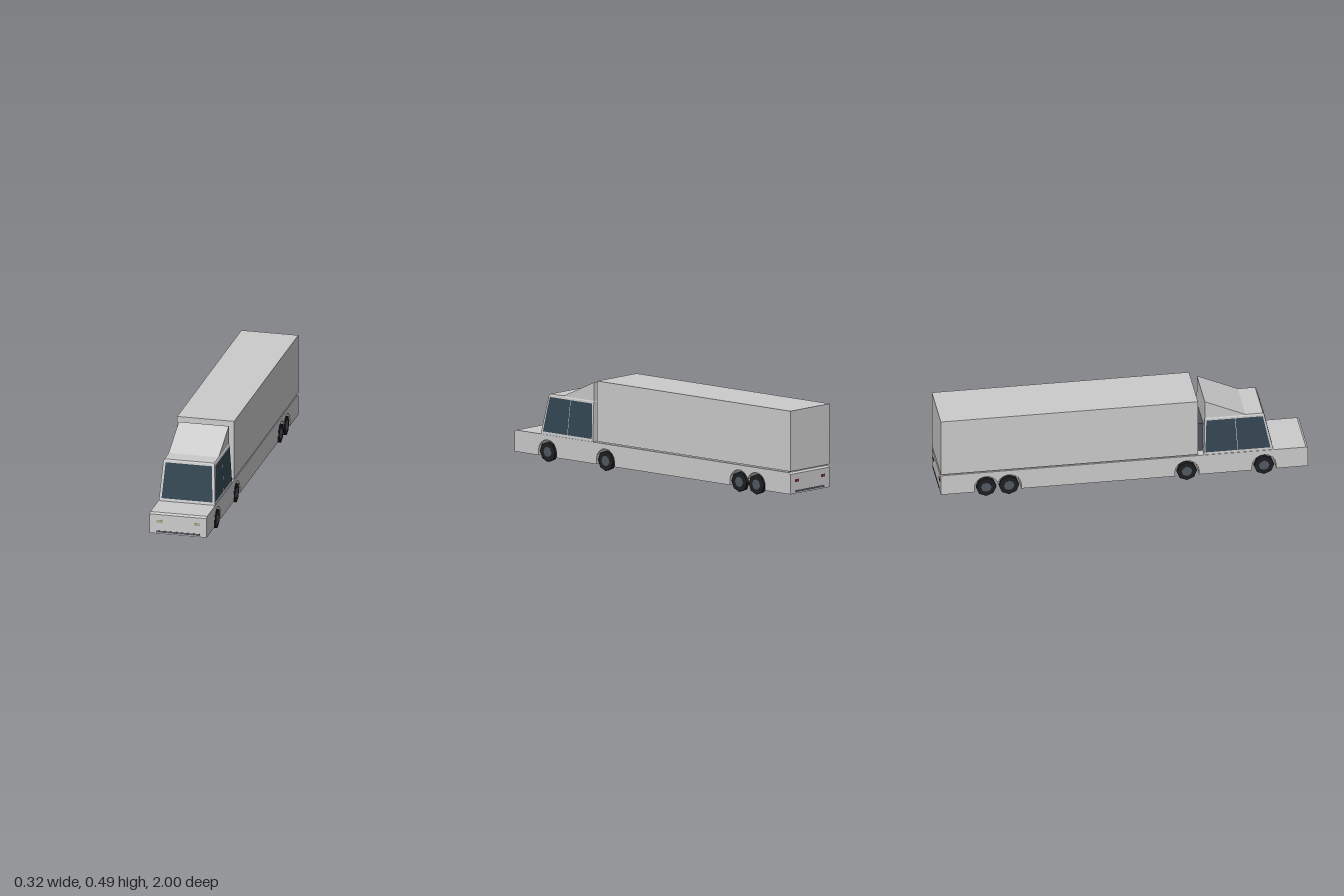
import * as THREE from 'three';

const mat = (color, side = THREE.FrontSide) =>
  new THREE.MeshStandardMaterial({ color, flatShading: true, side });

export function createModel() {
  const truck = new THREE.Group();
  const paint = mat(0xcccccc), trim = mat(0x50545e), tyreMat = mat(0x1e1f21);
  const hubMat = mat(0x505862), lampMat = mat(0xa8a684), tailMat = mat(0x6a2238);
  const glass = mat(0x344652, THREE.DoubleSide);

  const add = (name, geometry, material, parent = truck) => {
    const mesh = new THREE.Mesh(geometry, material);
    mesh.name = name;
    parent.add(mesh);
    return mesh;
  };
  // Box given by its limits on each axis
  const box = (name, x0, x1, y0, y1, z0, z1, material) =>
    add(name, new THREE.BoxGeometry(x1 - x0, y1 - y0, z1 - z0), material)
      .position.set((x0 + x1) / 2, (y0 + y1) / 2, (z0 + z1) / 2);
  // Side profile of [z, y] points, extruded across the width
  const sideExtrude = (points, halfWidth) => {
    const shape = new THREE.Shape(points.map(p => new THREE.Vector2(p[0], p[1])));
    return new THREE.ExtrudeGeometry(shape, { depth: 2 * halfWidth, bevelEnabled: false })
      .rotateY(-Math.PI / 2).translate(halfWidth, 0, 0);
  };
  const polygon = (corners) => {
    const g = new THREE.BufferGeometry();
    g.setAttribute('position', new THREE.Float32BufferAttribute(corners.flat(), 3));
    g.setIndex([0, 1, 2, 0, 2, 3]);
    g.computeVertexNormals();
    return g;
  };

  // Chassis with wheel arches cut right through
  const W = 0.158, FLOOR = 0.03, AXLE = 0.055, ARCH = 0.066;
  const axles = [-0.752, -0.628, 0.34, 0.76];
  const profile = [[-1, FLOOR]];
  axles.forEach((z, i) => {
    const cusp = Math.acos(0.062 / ARCH);
    const from = i === 1 ? Math.PI - cusp : Math.PI;
    const to = i === 0 ? cusp : 0;
    if (i !== 1) profile.push([z - ARCH, FLOOR]);
    for (let k = i === 1 ? 1 : 0; k <= 8; k++) {
      const a = from + (to - from) * k / 8;
      profile.push([z + ARCH * Math.cos(a), AXLE + ARCH * Math.sin(a)]);
    }
    if (i !== 0) profile.push([z + ARCH, FLOOR]);
  });
  profile.push([1, FLOOR], [1, 0.139], [0.988, 0.148], [-0.988, 0.148], [-1, 0.139]);
  add('chassis', sideExtrude(profile, W), paint);

  // Cargo box on a slightly recessed bed
  box('cargoBed', -0.15, 0.15, 0.146, 0.157, -0.985, 0.39, paint);
  box('cargoBox', -W, W, 0.155, 0.485, -1, 0.4, paint);

  // Cab lofted from rectangular rings: [y, half width, back z, front z]
  const rings = [
    [0.147, 0.1555, 0.434, 0.811],
    [0.363, 0.1425, 0.438, 0.763],
    [0.37, 0.138, 0.441, 0.757],
  ];
  const pos = [], idx = [];
  rings.forEach(([y, x, zb, zf]) => pos.push(-x, y, zf, x, y, zf, x, y, zb, -x, y, zb));
  for (let r = 0; r < 2; r++) for (let s = 0; s < 4; s++) {
    const a = r * 4 + s, b = r * 4 + (s + 1) % 4;
    idx.push(a, b, b + 4, a, b + 4, a + 4);
  }
  idx.push(8, 9, 10, 8, 10, 11, 0, 2, 1, 0, 3, 2);
  const cab = new THREE.BufferGeometry();
  cab.setAttribute('position', new THREE.Float32BufferAttribute(pos, 3));
  cab.setIndex(idx);
  add('cab', cab.toNonIndexed(), paint).geometry.computeVertexNormals();

  // Wind deflector on the roof and dark unit behind the cab
  add('roofDeflector', sideExtrude([[0.44, 0.365], [0.672, 0.365], [0.66, 0.371], [0.44, 0.47]], 0.139), paint);
  box('rearCabUnit', -0.105, 0.105, 0.147, 0.315, 0.405, 0.437, trim);

  // Windows lie just outside the sloping cab walls
  const t = (y) => (y - 0.147) / 0.216;
  const wallX = (y) => 0.1555 - 0.013 * t(y) + 0.0015;
  const wallZ = (y) => 0.811 - 0.048 * t(y) + 0.0015;
  const y0 = 0.163, y1 = 0.354;
  add('windscreen', polygon([[-0.141, y0, wallZ(y0)], [0.141, y0, wallZ(y0)],
    [0.129, y1, wallZ(y1)], [-0.129, y1, wallZ(y1)]]), glass);
  for (const s of [-1, 1]) {
    const side = s > 0 ? 'left' : 'right';
    const pane = (name, b0, b1, t0, t1) => add(side + name, polygon([
      [s * wallX(y0), y0, b0], [s * wallX(y0), y0, b1],
      [s * wallX(y1), y1, t1], [s * wallX(y1), y1, t0]]), glass);
    pane('FrontSideWindow', 0.795, 0.619, 0.755, 0.606);
    pane('RearSideWindow', 0.616, 0.441, 0.603, 0.448);

    // Lamps
    const [a, b] = s > 0 ? [0.088, 0.121] : [-0.121, -0.088];
    box(side + 'Headlight', a, b, 0.093, 0.108, 0.995, 1.001, lampMat);
    box(side + 'TailLight', a, b, 0.093, 0.108, -1.001, -0.995, tailMat);

    // Wheels
    for (const z of axles) {
      const wheel = new THREE.Group();
      wheel.name = side + 'Wheel';
      wheel.position.set(s * 0.146, AXLE, z);
      add('tyre', new THREE.CylinderGeometry(0.055, 0.055, 0.021, 8).rotateZ(Math.PI / 2), tyreMat, wheel);
      add('hub', new THREE.CylinderGeometry(0.029, 0.029, 0.023, 8).rotateZ(Math.PI / 2), hubMat, wheel);
      truck.add(wheel);
    }
  }

  // Bumper strips
  box('frontBumperStrip', -0.122, 0.122, 0.037, 0.047, 0.995, 1.002, trim);
  box('rearBumperStrip', -0.115, 0.115, 0.037, 0.047, -1.002, -0.995, trim);

  return truck;
}
